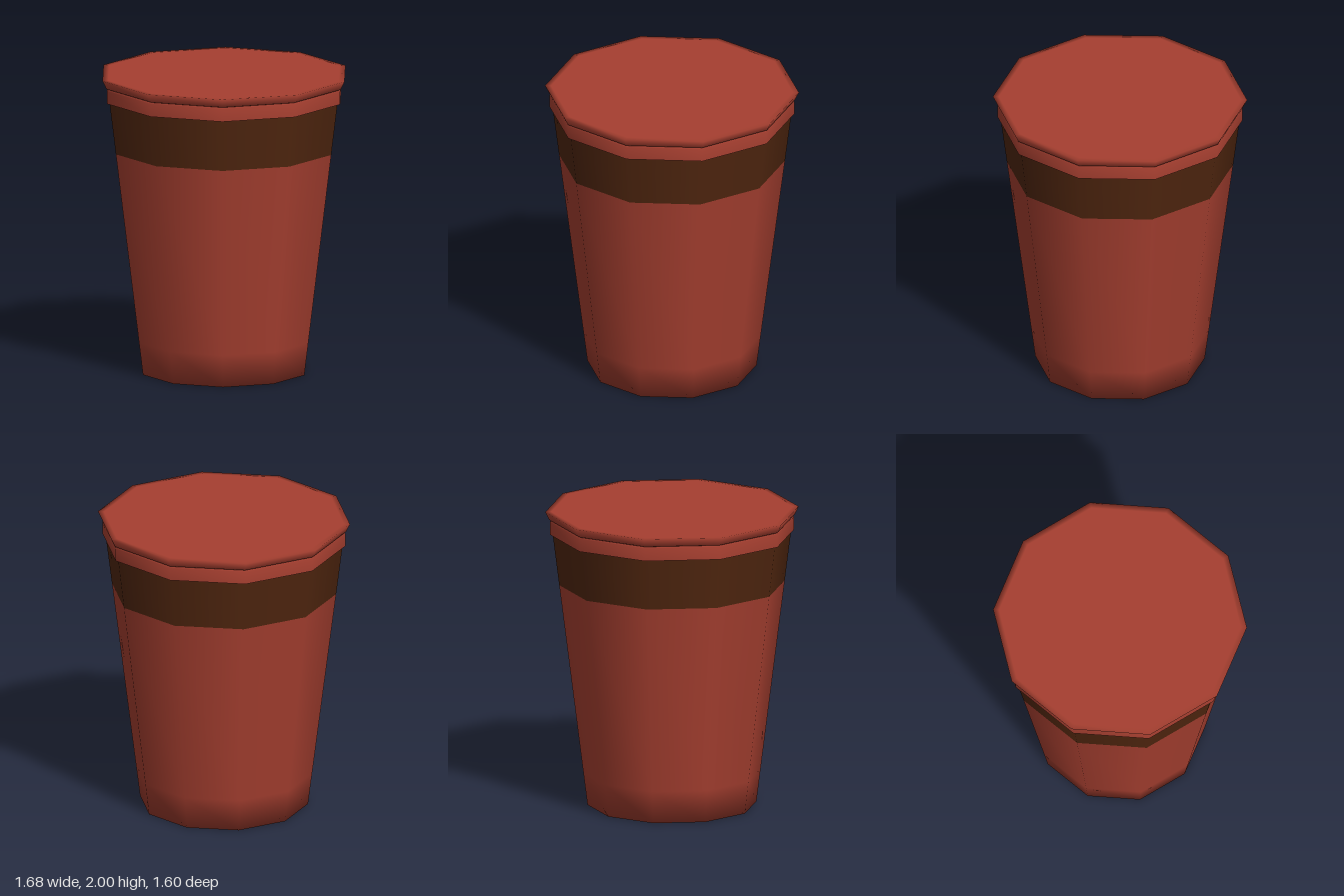
import * as THREE from 'three';

const SIDES = 10;

export function createModel() {
  const group = new THREE.Group();
  group.name = 'liddedCup';

  const red = new THREE.MeshStandardMaterial({ color: 0xa63f30 });
  red.name = 'brick red';
  const brown = new THREE.MeshStandardMaterial({ color: 0x50260f });
  brown.name = 'dark brown';

  // Ten-sided turned part; profile runs from bottom to top, a corner points along x
  function turned(name, material, profile) {
    const points = profile.map(([r, y]) => new THREE.Vector2(r, y));
    const geometry = new THREE.LatheGeometry(points, SIDES);
    geometry.rotateY(Math.PI / 2);
    const mesh = new THREE.Mesh(geometry, material);
    mesh.name = name;
    group.add(mesh);
  }

  // Radius of the tapered wall at height y
  const wall = (y) => 0.56 + 0.125 * y;

  // Closed base and tapered wall, softly shaded near the floor
  turned('cupBody', red, [[0, 0], [wall(0), 0], [wall(0.22), 0.22], [wall(1.5), 1.5]]);

  // Coloured band under the lid
  turned('band', brown, [[wall(1.5), 1.5], [wall(1.85), 1.85]]);

  // Lid skirt with its underside and the step beneath the rim
  turned('lidUnderside', red, [[0.77, 1.845], [0.81, 1.845]]);
  turned('lidSkirt', red, [[0.81, 1.845], [0.81, 1.93], [0.795, 1.942]]);

  // Flared rim rolling over into the flat top
  turned('lidTop', red, [[0.795, 1.937], [0.813, 1.945], [0.84, 2], [0.8, 2], [0, 2]]);

  return group;
}
